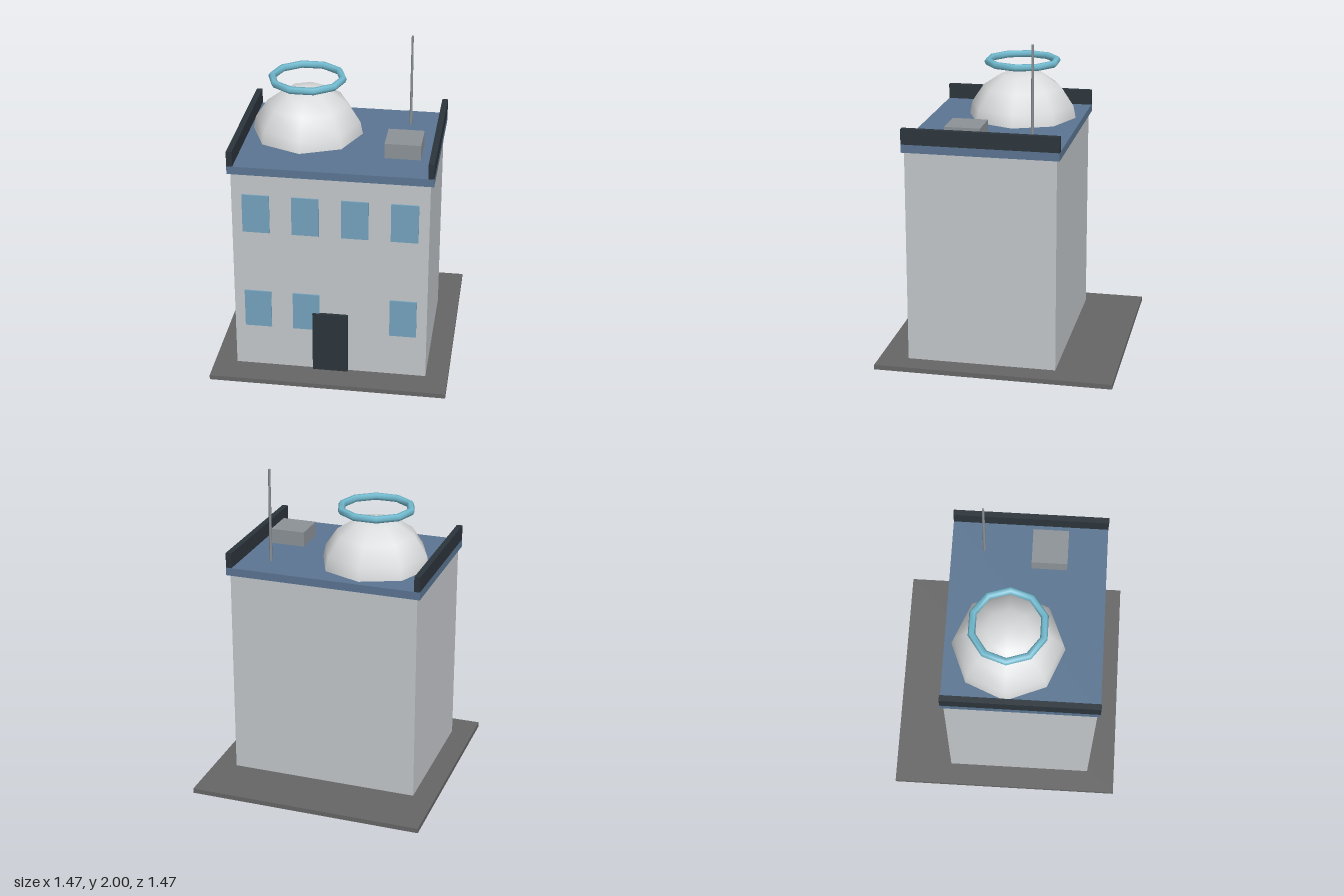
import * as THREE from 'three';

const material = (name, color) => {
  const m = new THREE.MeshStandardMaterial({ color });
  m.name = name;
  return m;
};

export function createModel() {
  const model = new THREE.Group();
  model.name = 'building';

  const paving = material('paving grey', 0x666666);
  const wall = material('wall grey', 0xc3c7ca);
  const roofBlue = material('roof blue', 0x5b7592);
  const dark = material('dark slate', 0x2b343b);
  const glass = material('window blue', 0x74a2bf);
  const domeWhite = material('dome white', 0xdadcdd);
  const ringBlue = material('ring blue', 0x72bbd0);
  const metal = material('metal grey', 0x8c9297);

  const add = (name, geometry, mat, x, y, z) => {
    const mesh = new THREE.Mesh(geometry, mat);
    mesh.name = name;
    mesh.position.set(x, y, z);
    model.add(mesh);
    return mesh;
  };
  // Box given by its lower and upper corners
  const box = (name, mat, [x0, y0, z0], [x1, y1, z1]) =>
    add(name, new THREE.BoxGeometry(x1 - x0, y1 - y0, z1 - z0), mat,
      (x0 + x1) / 2, (y0 + y1) / 2, (z0 + z1) / 2);

  // Ground slab, walls and roof
  box('groundSlab', paving, [-0.737, 0, -0.737], [0.737, 0.03, 0.737]);
  box('walls', wall, [-0.597, 0.03, -0.368], [0.597, 1.36, 0.556]);
  box('roofSlab', roofBlue, [-0.617, 1.36, -0.387], [0.617, 1.41, 0.571]);

  // Parapets along both sides
  for (const [name, x] of [['leftParapet', 0.599], ['rightParapet', -0.599]]) {
    box(name, dark, [x - 0.018, 1.41, -0.387], [x + 0.018, 1.505, 0.571]);
  }

  // Two rows of windows, one gap beside the door
  for (const y of [0.438, 1.1]) {
    for (const x of [-0.45, -0.15, 0.15, 0.45]) {
      if (y < 1 && x === 0.15) continue;
      box('window', glass, [x - 0.083, y - 0.125, 0.556], [x + 0.083, y + 0.125, 0.565]);
    }
  }
  box('door', dark, [-0.11, 0.03, 0.556], [0.11, 0.435, 0.576]);

  // Faceted dome sunk into the roof, with a ring floating above it
  add('dome', new THREE.SphereGeometry(0.355, 8, 4, 0, Math.PI * 2, 0, Math.PI / 2),
    domeWhite, -0.22, 1.352, 0);
  const ring = add('ring', new THREE.TorusGeometry(0.22, 0.023, 6, 10), ringBlue, -0.22, 1.765, 0);
  ring.rotation.x = -Math.PI / 2;

  // Rooftop unit and antenna
  box('rooftopUnit', metal, [0.295, 1.41, 0.11], [0.515, 1.505, 0.328]);
  add('antenna', new THREE.CylinderGeometry(0.007, 0.01, 0.59, 6), metal, 0.402, 1.705, -0.184);

  return model;
}
